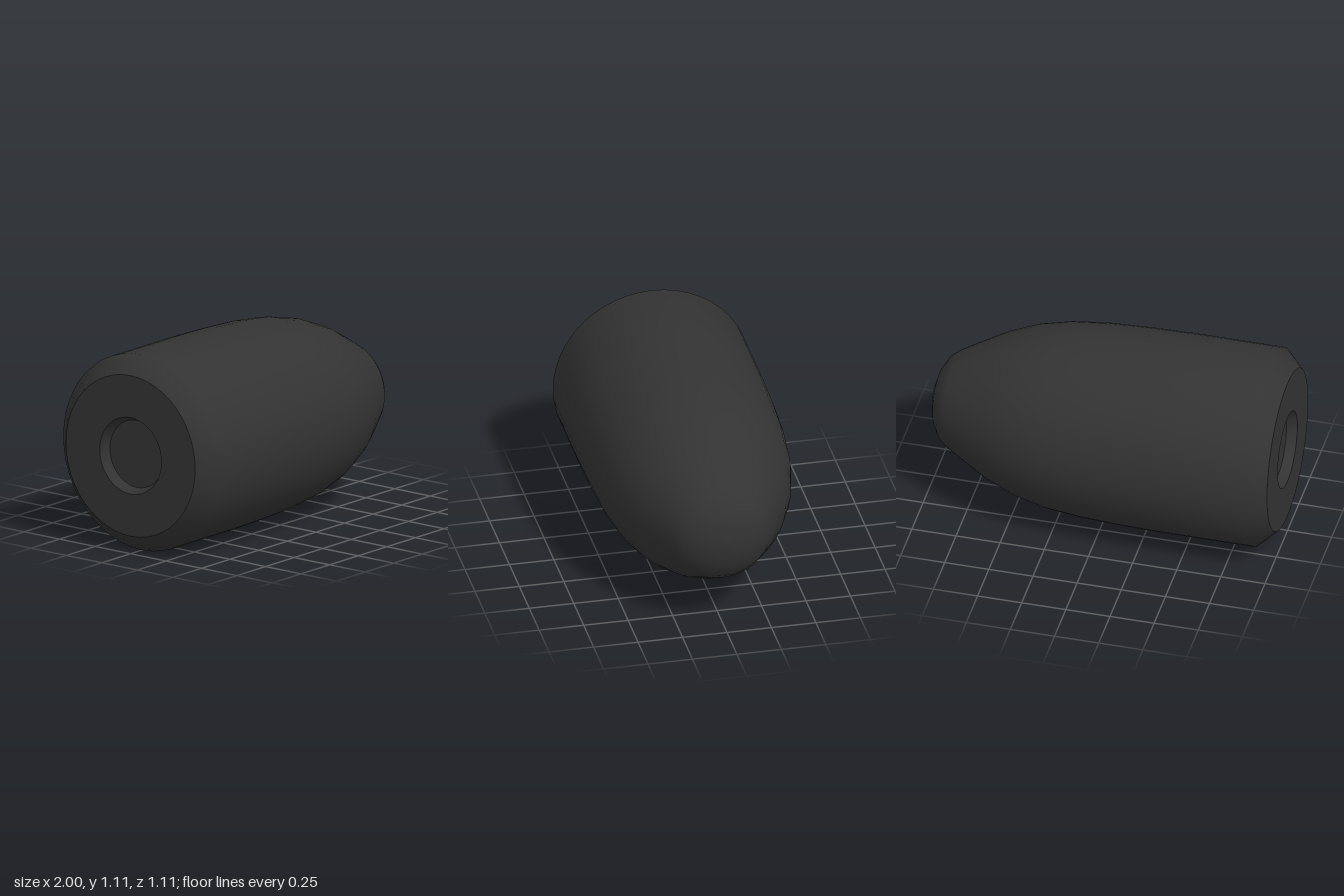
import * as THREE from 'three';
import { toCreasedNormals } from 'three/addons/utils/BufferGeometryUtils.js';

const SIDES = 48;
const RADIUS = 0.555;

// Turn a [radius, position along axis] profile into a solid of revolution
const lathe = (profile) =>
  new THREE.LatheGeometry(profile.map(([r, a]) => new THREE.Vector2(r, a)), SIDES);

export function createModel() {
  const group = new THREE.Group();
  group.name = 'bullet';
  const material = new THREE.MeshStandardMaterial({ color: 0x333333 });

  const add = (name, geometry) => {
    const mesh = new THREE.Mesh(geometry, material);
    mesh.name = name;
    // Lay the axis along +x, resting on the ground
    mesh.rotation.z = -Math.PI / 2;
    mesh.position.y = RADIUS;
    group.add(mesh);
  };

  // Chamfered cylinder flowing into a rounded nose
  add('shell', lathe([
    [0.456, -1], [RADIUS, -0.9], [RADIUS, -0.38], [0.551, -0.16],
    [0.541, 0.08], [0.519, 0.29], [0.478, 0.47], [0.415, 0.63],
    [0.327, 0.79], [0.275, 0.88], [0.235, 0.93], [0.165, 0.97],
    [0.085, 0.993], [0, 1],
  ]));

  // Flat rear face with a shallow tapered recess
  add('base', toCreasedNormals(lathe([
    [0, -0.945], [0.19, -0.945], [0.217, -1], [0.456, -1],
  ]), 0.6));

  return group;
}
